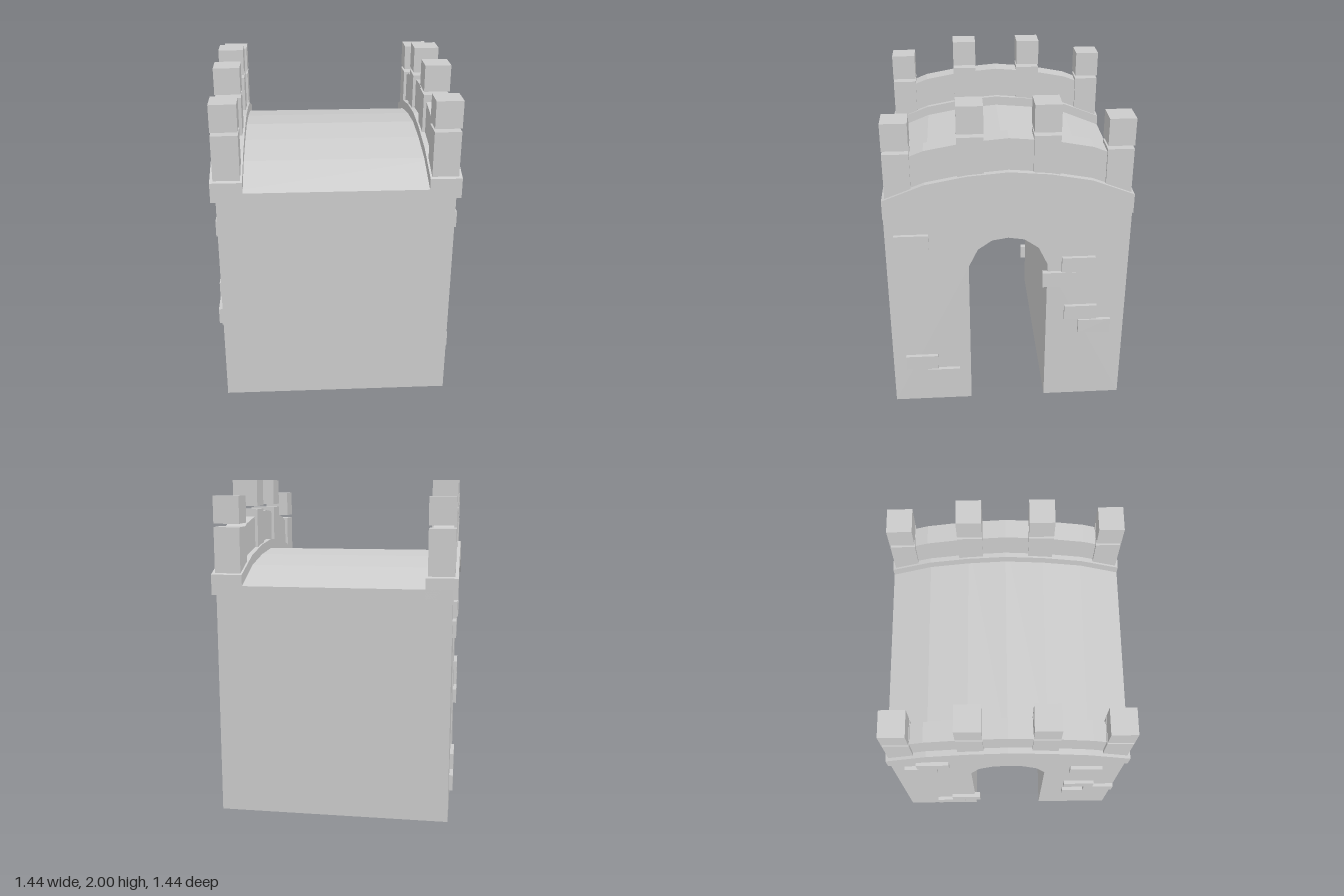
import * as THREE from 'three';

const material = new THREE.MeshStandardMaterial({ color: 0xcccccc, flatShading: true });

// Shallow faceted arc shared by roof, trim and parapet: [z, drop below the crown]
const half = [[0, 0], [0.235, 0.02], [0.475, 0.065], [0.72, 0.16]];
const arc = [...half.slice(1).reverse().map(([z, d]) => [-z, d]), ...half];
const arcLine = (crown) => arc.map(([z, d]) => [z, crown - d]);

// Extrude a (z, y) outline across x, centred on x = cx
function slab(name, points, width, cx) {
  const shape = new THREE.Shape(points.map(([z, y]) => new THREE.Vector2(z, y)));
  const geo = new THREE.ExtrudeGeometry(shape, { depth: width, bevelEnabled: false });
  geo.translate(0, 0, -width / 2).rotateY(-Math.PI / 2).translate(cx, 0, 0);
  const mesh = new THREE.Mesh(geo, material);
  mesh.name = name;
  return mesh;
}

function block(name, w, h, d, x, y, z) {
  const mesh = new THREE.Mesh(new THREE.BoxGeometry(w, h, d), material);
  mesh.position.set(x, y, z);
  mesh.name = name;
  return mesh;
}

export function createModel() {
  const model = new THREE.Group();
  model.name = 'gatehouse';

  // Walls and curved roof in one piece, pierced by the arched passage
  const opening = [
    [0.235, 0], [0.235, 0.99], [0.18, 1.105], [0.095, 1.165], [0, 1.18],
    [-0.095, 1.165], [-0.18, 1.105], [-0.235, 0.99], [-0.235, 0],
  ];
  const roof = arcLine(1.555).reverse();
  roof[0][1] = roof[roof.length - 1][1] = 1.39;
  model.add(slab('gateBody', [[-0.72, 0], ...opening.reverse(), [0.72, 0], ...roof], 1.38, 0));

  for (const side of [1, -1]) {
    const battlement = new THREE.Group();
    battlement.name = side > 0 ? 'leftBattlement' : 'rightBattlement';

    // Arched trim course over the passage
    battlement.add(slab('archTrim',
      [...arcLine(1.495), ...arcLine(1.615).reverse()], 0.185, side * 0.6275));

    // Parapet wall standing on the trim
    const base = arcLine(1.6), top = arcLine(1.805);
    for (const line of [base, top]) {
      line[0][0] = -0.64;
      line[line.length - 1][0] = 0.64;
    }
    top[0][1] = top[top.length - 1][1] = 1.675;
    battlement.add(slab('parapet', [...base, ...top.reverse()], 0.12, side * 0.625));

    // Posts with separate cap stones: [z, bottom, top]
    for (const [z, low, high] of [[0.627, 1.46, 1.73], [0.215, 1.58, 1.82]]) {
      for (const end of [1, -1]) {
        battlement.add(block('post', 0.155, high - low, 0.15, side * 0.624, (low + high) / 2, end * z));
        battlement.add(block('capStone', 0.155, 0.16, 0.15, side * 0.624, high + 0.1, end * z));
      }
    }
    model.add(battlement);
  }

  // Raised bricks on each arched face: [z, y] centres
  const bricks = {
    left: [[0.567, 1.17], [-0.42, 0.99], [-0.305, 0.89], [-0.445, 0.645], [-0.535, 0.54],
      [0.54, 0.305], [0.405, 0.2]],
    right: [[-0.46, 1.25], [-0.54, 1.15], [0.49, 1.105], [0.48, 0.68], [0.62, 0.578], [0.48, 0.475],
      [-0.3, 0.263], [-0.41, 0.165]],
  };
  for (const [name, list] of Object.entries(bricks)) {
    const group = new THREE.Group();
    group.name = name + 'Bricks';
    const x = name === 'left' ? 0.695 : -0.695;
    for (const [z, y] of list) group.add(block('brick', 0.035, 0.098, 0.2, x, y, z));
    model.add(group);
  }
  return model;
}
